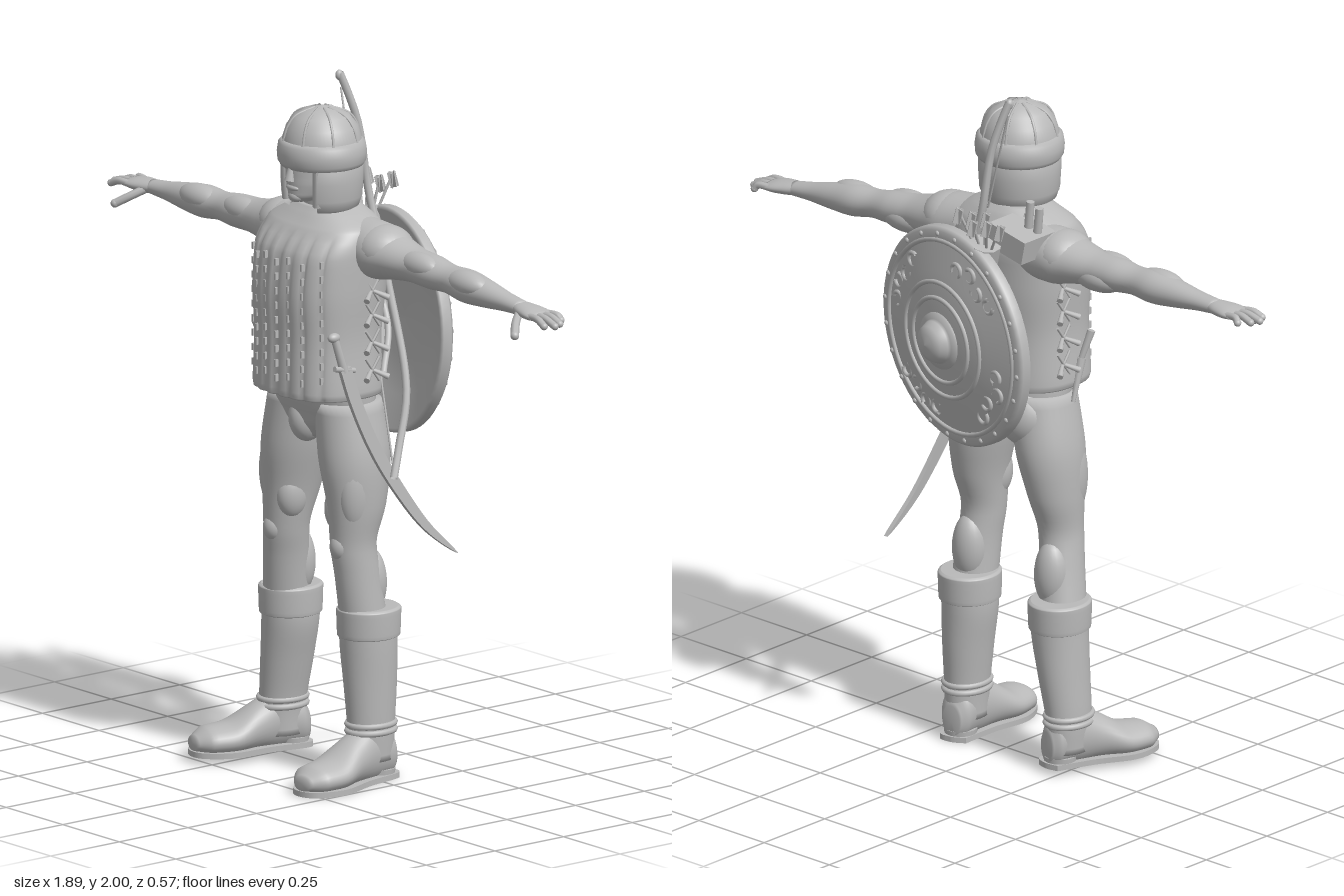
import * as THREE from 'three';

const V = (x, y, z) => new THREE.Vector3(x, y, z);

// Smooth closed loft. Stations: [cx, cy, cz, radiusA, radiusB]; axis is the travel axis.
// n is the superellipse power, shape(p) may move each vertex.
function loft(stations, axis = 'y', { segs = 32, steps = 5, n = 2, shape } = {}) {
  const mid = new THREE.CatmullRomCurve3(stations.map(s => V(s[0], s[1], s[2])));
  const rad = new THREE.CatmullRomCurve3(stations.map(s => V(s[3], s[4], 0)));
  const rows = (stations.length - 1) * steps, pos = [], idx = [];
  const pw = v => Math.sign(v) * Math.abs(v) ** (2 / n);
  for (let i = 0; i <= rows; i++) {
    const c = mid.getPoint(i / rows), r = rad.getPoint(i / rows);
    for (let j = 0; j < segs; j++) {
      const t = j / segs * Math.PI * 2, a = r.x * pw(Math.cos(t)), b = r.y * pw(Math.sin(t));
      const p = axis === 'y' ? V(c.x + a, c.y, c.z + b)
        : axis === 'x' ? V(c.x, c.y + a, c.z + b) : V(c.x + a, c.y + b, c.z);
      if (shape) shape(p);
      pos.push(p.x, p.y, p.z);
      if (i < rows) {
        const k = i * segs + j, l = i * segs + (j + 1) % segs;
        idx.push(k, k + segs, l, l, k + segs, l + segs);
      }
    }
  }
  for (const row of [0, rows]) {
    const c = mid.getPoint(row / rows), k = pos.length / 3;
    const p = V(c.x, c.y, c.z);
    if (shape) shape(p);
    pos.push(p.x, p.y, p.z);
    for (let j = 0; j < segs; j++) {
      const a = row * segs + j, b = row * segs + (j + 1) % segs;
      row ? idx.push(a, k, b) : idx.push(a, b, k);
    }
  }
  // Turn the faces outward whichever way the stations run
  let vol = 0;
  const at = i => V(pos[i * 3], pos[i * 3 + 1], pos[i * 3 + 2]);
  for (let i = 0; i < idx.length; i += 3) vol += at(idx[i]).dot(at(idx[i + 1]).cross(at(idx[i + 2])));
  if (vol < 0) idx.reverse();
  const g = new THREE.BufferGeometry();
  g.setAttribute('position', new THREE.Float32BufferAttribute(pos, 3));
  g.setIndex(idx);
  g.computeVertexNormals();
  return g;
}

export function createModel() {
  const model = new THREE.Group();
  const grey = new THREE.MeshStandardMaterial({ color: 0xb9b9b9, side: THREE.DoubleSide });
  grey.name = 'stone grey';
  const add = (name, geo, parent = model) => {
    const m = new THREE.Mesh(geo, grey);
    m.name = name;
    parent.add(m);
    return m;
  };
  const group = (name, parent = model) => {
    const g = new THREE.Group();
    g.name = name;
    parent.add(g);
    return g;
  };
  const ball = (name, x, y, z, a, b, c, parent) => {
    const m = add(name, new THREE.SphereGeometry(1, 24, 16), parent);
    m.position.set(x, y, z);
    m.scale.set(a, b, c);
    return m;
  };
  const tube = (name, pts, r, parent, sides = 8) =>
    add(name, new THREE.TubeGeometry(new THREE.CatmullRomCurve3(pts), 32, r, sides), parent);
  const rod = (name, a, b, r0, r1, parent) => {
    const m = add(name, new THREE.CylinderGeometry(r1, r0, a.distanceTo(b), 10), parent);
    m.position.copy(a).lerp(b, 0.5);
    m.quaternion.setFromUnitVectors(V(0, 1, 0), b.clone().sub(a).normalize());
    return m;
  };

  // Vest with vertical ribs
  const rib = p => {
    if (p.y < 1.58 && p.z > 0.09) p.z += Math.abs(Math.sin(p.x * Math.PI / 0.05)) ** 0.4 * 0.01 - 0.006;
  };
  add('vest', loft([[0, 1.12, 0.07, 0.19, 0.15], [0, 1.14, 0.07, 0.195, 0.152], [0, 1.28, 0.07, 0.187, 0.15],
    [0, 1.42, 0.065, 0.195, 0.16], [0, 1.53, 0.055, 0.198, 0.157], [0, 1.6, 0.04, 0.185, 0.125],
    [0, 1.635, 0.035, 0.13, 0.095], [0, 1.655, 0.035, 0.085, 0.075]], 'y', { segs: 128, n: 2.5, shape: rib }));
  const stitches = group('vestStitches');
  for (let i = -3; i <= 3; i++) for (let j = 0; j < 9; j++) {
    const x = i * 0.05, s = add('stitch', new THREE.BoxGeometry(0.007, 0.02, 0.012), stitches);
    s.position.set(x, 1.17 + j * 0.042 + (i & 1) * 0.012, 0.07 + 0.152 * (1 - Math.abs(x / 0.19) ** 2.5) ** 0.4);
  }
  // Side lacing with bows
  for (const s of [-1, 1]) {
    const lace = group(s > 0 ? 'leftLacing' : 'rightLacing');
    for (const y of [1.2, 1.28, 1.36, 1.43]) for (const d of [-1, 1]) {
      rod('laceBow', V(s * 0.188, y, 0.03), V(s * 0.215, y - 0.022, 0.03 + d * 0.04), 0.005, 0.009, lace);
      rod('laceCross', V(s * 0.192, y - 0.035, 0.03 - d * 0.025), V(s * 0.192, y + 0.035, 0.03 + d * 0.025), 0.004, 0.004, lace);
    }
  }

  // Pelvis
  add('hips', loft([[0, 0.985, 0.04, 0.06, 0.07], [0, 1.03, 0.04, 0.14, 0.1], [0, 1.08, 0.045, 0.178, 0.115],
    [0, 1.16, 0.06, 0.18, 0.13]]));
  ball('groin', -0.01, 1.04, 0.1, 0.045, 0.075, 0.06);
  for (const s of [-1, 1]) ball('buttock', s * 0.085, 1.03, -0.01, 0.085, 0.09, 0.075);

  // Legs: the right one stands wider, with its foot turned out
  for (const s of [1, -1]) {
    const side = s > 0 ? 'left' : 'right', leg = group(side + 'Leg');
    const [c1, c2, c3, c4, c5, c6, c7] = s > 0 ? [0.1, 0.122, 0.137, 0.135, 0.14, 0.145, 0.155]
      : [-0.1, -0.128, -0.15, -0.16, -0.175, -0.2, -0.235];
    add('upperLeg', loft([[c1, 1.1, 0.045, 0.09, 0.1], [c2, 0.95, 0.04, 0.093, 0.108], [c3, 0.8, 0.043, 0.076, 0.088],
      [c4, 0.69, 0.053, 0.062, 0.068], [c5, 0.6, 0.042, 0.06, 0.068], [c6, 0.44, 0.02, 0.065, 0.07]]), leg);
    ball('outerThighMuscle', c3 + s * 0.03, 0.85, 0.065, 0.045, 0.13, 0.062, leg);
    ball('innerThighMuscle', c3 - s * 0.035, 0.79, 0.07, 0.04, 0.075, 0.052, leg);
    ball('kneecap', c4, 0.685, 0.095, 0.034, 0.042, 0.035, leg);
    ball('calf', c5, 0.57, 0.0, 0.052, 0.1, 0.05, leg);

    const boot = group(side + 'Boot', leg);
    add('bootShaft', loft([[c6, 0.485, 0.005, 0.078, 0.087], [c6 - 0.001, 0.4, 0.005, 0.078, 0.085],
      [(c6 + c7) / 2, 0.28, 0.004, 0.068, 0.08], [c7, 0.15, 0.005, 0.058, 0.072], [c7, 0.06, 0.005, 0.054, 0.07]]), boot);
    add('bootCuff', loft([[c6, 0.415, 0.005, 0.075, 0.083], [c6, 0.42, 0.005, 0.085, 0.092],
      [c6, 0.495, 0.005, 0.087, 0.095], [c6, 0.503, 0.005, 0.078, 0.086]]), boot);
    for (const y of [0.145, 0.165]) {
      const strap = add('ankleStrap', new THREE.TorusGeometry(0.058, 0.009, 8, 32), boot);
      strap.rotation.x = Math.PI / 2;
      strap.scale.y = 1.22;
      strap.position.set(c7, y, 0.005);
    }
    const foot = group(side + 'Foot', boot);
    foot.position.set(c7, s > 0 ? 0 : 0.018, 0);
    foot.rotation.y = s > 0 ? 0.1 : -0.28;
    add('shoe', loft([[0, 0.06, -0.07, 0.03, 0.045], [0, 0.075, -0.045, 0.05, 0.075], [0, 0.085, 0.02, 0.053, 0.085],
      [0, 0.07, 0.09, 0.062, 0.068], [0, 0.045, 0.17, 0.078, 0.046], [0, 0.04, 0.24, 0.068, 0.04], [0, 0.035, 0.282, 0.03, 0.02]],
    'z', { shape: p => { p.y = Math.max(p.y, p.z > 0.0 ? 0.008 : 0.02); } }), foot);
    const sole = new THREE.Shape();
    sole.moveTo(-0.045, 0.06);
    sole.splineThru([[0.0, 0.078], [0.045, 0.06], [0.056, -0.06], [0.08, -0.18], [0.05, -0.265], [0, -0.288],
      [-0.05, -0.265], [-0.08, -0.18], [-0.056, -0.06], [-0.045, 0.06]].map(p => new THREE.Vector2(...p)));
    add('sole', new THREE.ExtrudeGeometry(sole, { depth: 0.016, bevelEnabled: false, curveSegments: 40 }).rotateX(-Math.PI / 2), foot);
    const heel = add('heel', new THREE.CylinderGeometry(0.048, 0.045, 0.03, 20), foot);
    heel.position.set(0, 0.015, -0.025);
  }

  // Arms and hands, with a slightly different slope on each side
  for (const s of [1, -1]) {
    const side = s > 0 ? 'left' : 'right', arm = group(side + 'Arm');
    const cy = x => 1.538 - (s > 0 ? 0.095 : 0.005) * (x - 0.25);
    const cz = x => 0.005 + (s > 0 ? -0.055 : 0.03) * (x - 0.2);
    const at = (x, dy = 0, dz = 0) => V(s * x, cy(x) + dy, cz(x) + dz);
    add('arm', loft([[0.12, 0.08, 0.085], [0.2, 0.08, 0.088], [0.27, 0.063, 0.075], [0.35, 0.049, 0.058], [0.42, 0.048, 0.055],
      [0.49, 0.041, 0.046], [0.56, 0.047, 0.052], [0.64, 0.039, 0.043], [0.72, 0.027, 0.032], [0.79, 0.02, 0.028]]
      .map(([x, a, b]) => [s * x, cy(x), cz(x), a, b]), 'x'), arm);
    const muscle = (name, x, dy, dz, a, b, c) => { const p = at(x, dy, dz); ball(name, p.x, p.y, p.z, a, b, c, arm); };
    muscle('deltoid', 0.215, 0.01, 0, 0.085, 0.07, 0.085);
    muscle('biceps', 0.38, 0.012, 0.02, 0.085, 0.038, 0.038);
    muscle('triceps', 0.36, -0.018, -0.018, 0.09, 0.04, 0.045);
    muscle('forearmMuscle', 0.57, 0.012, 0.012, 0.085, 0.038, 0.042);
    const hand = group(side + 'Hand', arm);
    add('palm', loft([[0.77, 0.019, 0.026], [0.8, 0.02, 0.036], [0.84, 0.018, 0.044], [0.868, 0.013, 0.043]]
      .map(([x, a, b]) => [s * x, cy(x), cz(x), a, b]), 'x'), hand);
    [0.9, 0.925, 0.935, 0.92].forEach((end, i) => {
      const dz = (1.5 - i) * -0.021;
      tube('finger', [at(0.85, 0, dz), at(0.89, 0.003, dz * 1.15), at(end, -0.008, dz * 1.25)], 0.0105, hand);
      const tip = at(end, -0.008, dz * 1.25);
      ball('fingertip', tip.x, tip.y, tip.z, 0.0105, 0.0105, 0.0105, hand);
    });
    tube('thumb', [at(0.795, -0.005, 0.02), at(0.82, -0.025, 0.055), at(0.85, -0.047, 0.085)], 0.0125, hand);
    const tip = at(0.85, -0.047, 0.085);
    ball('thumbTip', tip.x, tip.y, tip.z, 0.0125, 0.0125, 0.0125, hand);
  }

  // Head and neck
  const head = group('head');
  add('neck', loft([[0, 1.6, 0.03, 0.085, 0.08], [0, 1.66, 0.035, 0.07, 0.07], [0.005, 1.74, 0.045, 0.065, 0.07]]), head);
  add('face', loft([[0.005, 1.672, 0.12, 0.022, 0.035], [0.005, 1.69, 0.1, 0.05, 0.072], [0.005, 1.73, 0.085, 0.07, 0.09],
    [0.005, 1.79, 0.075, 0.078, 0.1], [0.005, 1.86, 0.07, 0.07, 0.09]]), head);
  rod('nose', V(0.005, 1.735, 0.178), V(0.005, 1.785, 0.168), 0.015, 0.008, head);
  ball('lips', 0.005, 1.714, 0.166, 0.026, 0.01, 0.012, head);
  ball('chin', 0.005, 1.688, 0.155, 0.024, 0.018, 0.02, head);

  // Helmet: ribbed dome, thick brim, and a flap round the ears and neck
  const helmet = group('helmet', head);
  helmet.position.set(0.007, 0, 0.062);
  const lathe = (name, pts, parent, ...arc) =>
    add(name, new THREE.LatheGeometry(pts.map(p => new THREE.Vector2(...p)), 64, ...arc), parent);
  lathe('dome', [[0.114, 1.82], [0.112, 1.845], [0.101, 1.88], [0.078, 1.91], [0.045, 1.927], [0.018, 1.933], [0, 1.937]], helmet);
  lathe('brim', [[0.1, 1.772], [0.116, 1.768], [0.125, 1.782], [0.127, 1.807], [0.123, 1.833], [0.112, 1.843], [0.1, 1.84]], helmet);
  for (let i = 0; i < 8; i++) {
    const a = (i + 0.5) * Math.PI / 4, p = (r, y) => V(r * Math.sin(a), y, r * Math.cos(a));
    tube('domeRib', [p(0.113, 1.84), p(0.101, 1.88), p(0.078, 1.91), p(0.02, 1.933)], 0.004, helmet, 6);
  }
  lathe('neckFlap', [[0.1, 1.79], [0.117, 1.785], [0.117, 1.73], [0.114, 1.68], [0.105, 1.653], [0.092, 1.645], [0.082, 1.66],
    [0.082, 1.72], [0.09, 1.79]], helmet, 0.75, Math.PI * 2 - 1.5);
  for (const s of [-1, 1]) {
    const edge = (r, y) => V(s * r * Math.sin(0.78), y, r * Math.cos(0.78));
    tube('flapEdge', [edge(0.102, 1.78), edge(0.1, 1.72), edge(0.096, 1.665)], 0.016, helmet);
  }

  // Round shield slung on the back
  const shield = group('shield');
  shield.position.set(0.033, 1.285, -0.17);
  shield.quaternion.setFromUnitVectors(V(0, 1, 0), V(0.167, -0.03, -0.985).normalize());
  lathe('shieldDisc', [[0, 0.045], [0.12, 0.038], [0.22, 0.018], [0.31, -0.02], [0.322, -0.015], [0.322, 0.01], [0.312, 0.02],
    [0.288, 0.022], [0.28, 0.019], [0.2, 0.044], [0.1, 0.06], [0, 0.065]], shield);
  lathe('shieldBoss', [[0.085, 0.055], [0.082, 0.068], [0.066, 0.07], [0.062, 0.078], [0.052, 0.098], [0.032, 0.11], [0, 0.115]], shield);
  for (const [r, y] of [[0.125, 0.057], [0.17, 0.05], [0.285, 0.021]]) {
    const ring = add('shieldRing', new THREE.TorusGeometry(r, 0.007, 8, 64), shield);
    ring.rotation.x = Math.PI / 2;
    ring.position.y = y;
  }
  for (let i = 0; i < 24; i++) {
    const a = i * Math.PI / 12;
    ball('rimRivet', 0.304 * Math.cos(a), 0.02, 0.304 * Math.sin(a), 0.008, 0.006, 0.008, shield);
  }
  for (let i = 0; i < 16; i++) { // scrollwork in four clusters
    const a = Math.floor(i / 4) * Math.PI / 2 + (i % 4) * 0.22 + 0.4;
    const curl = add('scroll', new THREE.TorusGeometry(0.02, 0.006, 6, 16, 4.6), shield);
    const r = 0.228 + (i % 2) * 0.018;
    curl.rotation.set(Math.PI / 2, 0, a + i);
    curl.position.set(r * Math.cos(a), 0.035 - (i % 2) * 0.005, r * Math.sin(a));
  }

  // Bow and string, hung diagonally behind the body
  const bow = group('bow');
  tube('bowStave', [V(-0.08, 1.99, -0.075), V(-0.07, 1.95, -0.088), V(-0.05, 1.85, -0.115), V(-0.03, 1.65, -0.138),
    V(0.06, 1.4, -0.135), V(0.19, 1.12, -0.095), V(0.235, 0.97, -0.03), V(0.262, 0.895, 0.01)], 0.0115, bow);
  ball('bowTip', -0.08, 1.985, -0.073, 0.01, 0.015, 0.012, bow);
  rod('bowString', V(-0.075, 1.95, -0.075), V(0.25, 0.91, 0.0), 0.003, 0.003, bow);

  // Quiver, arrows and the pouch on the right shoulder
  const quiver = group('quiver');
  rod('quiverBody', V(0.03, 1.2, -0.125), V(-0.075, 1.59, -0.165), 0.035, 0.045, quiver);
  for (let i = 0; i < 6; i++) {
    const top = V(-0.15 + i * 0.027, 1.665 + (i % 3) * 0.012, -0.19 - (i % 2) * 0.025);
    rod('arrowShaft', V(-0.085 + i * 0.008, 1.55, -0.165), top, 0.004, 0.004, quiver);
    for (const t of [0, 1, 2]) {
      const f = add('fletching', new THREE.BoxGeometry(0.024, 0.045, 0.003), quiver);
      f.position.copy(top).y -= 0.018;
      f.rotation.set(0, t * Math.PI / 3, 0.25);
    }
  }
  const pouch = group('shoulderPouch');
  const body = add('pouchBody', new THREE.BoxGeometry(0.14, 0.07, 0.13), pouch);
  body.position.set(-0.125, 1.595, -0.075);
  body.rotation.z = 0.2;
  for (const x of [-0.175, -0.14]) rod('toggle', V(x, 1.62, -0.06), V(x - 0.008, 1.695 + (x + 0.175) * 0.3, -0.06), 0.013, 0.012, pouch);
  tube('strap', [V(-0.1, 1.64, -0.02), V(-0.03, 1.5, -0.1), V(0.1, 1.3, -0.1), V(0.18, 1.18, -0.02)], 0.01);

  // Curved sabre on the left hip
  const sabre = group('sabre');
  const line = new THREE.SplineCurve([[-0.135, 1.22], [-0.105, 1.12], [-0.05, 0.99], [0.02, 0.87], [0.12, 0.735], [0.23, 0.637]]
    .map(p => new THREE.Vector2(...p)));
  const front = [], back = [];
  for (let i = 0; i <= 24; i++) {
    const t = i / 24, p = line.getPoint(t), d = line.getTangent(t), w = 0.019 * (1 - t ** 5);
    front.push(new THREE.Vector2(p.x - d.y * w, p.y + d.x * w));
    back.unshift(new THREE.Vector2(p.x + d.y * w, p.y - d.x * w));
  }
  const blade = add('blade', new THREE.ExtrudeGeometry(new THREE.Shape([...front, ...back]), { depth: 0.014, bevelEnabled: false })
    .rotateY(Math.PI / 2), sabre);
  const bp = blade.geometry.attributes.position;
  for (let i = 0; i < bp.count; i++) bp.setX(i, bp.getX(i) + 0.19 + (1.22 - bp.getY(i)) * 0.09);
  blade.geometry.computeVertexNormals();
  rod('grip', V(0.195, 1.21, 0.135), V(0.185, 1.31, 0.162), 0.013, 0.011, sabre);
  ball('pommel', 0.184, 1.312, 0.164, 0.014, 0.014, 0.02, sabre);
  rod('crossguard', V(0.197, 1.21, 0.1), V(0.197, 1.225, 0.172), 0.008, 0.008, sabre);

  // Small dagger on the right hip
  const dagger = group('dagger');
  rod('daggerSheath', V(-0.2, 1.08, 0.06), V(-0.195, 1.2, 0.1), 0.006, 0.014, dagger);
  rod('daggerGrip', V(-0.195, 1.2, 0.1), V(-0.21, 1.28, 0.125), 0.009, 0.012, dagger);
  return model;
}
